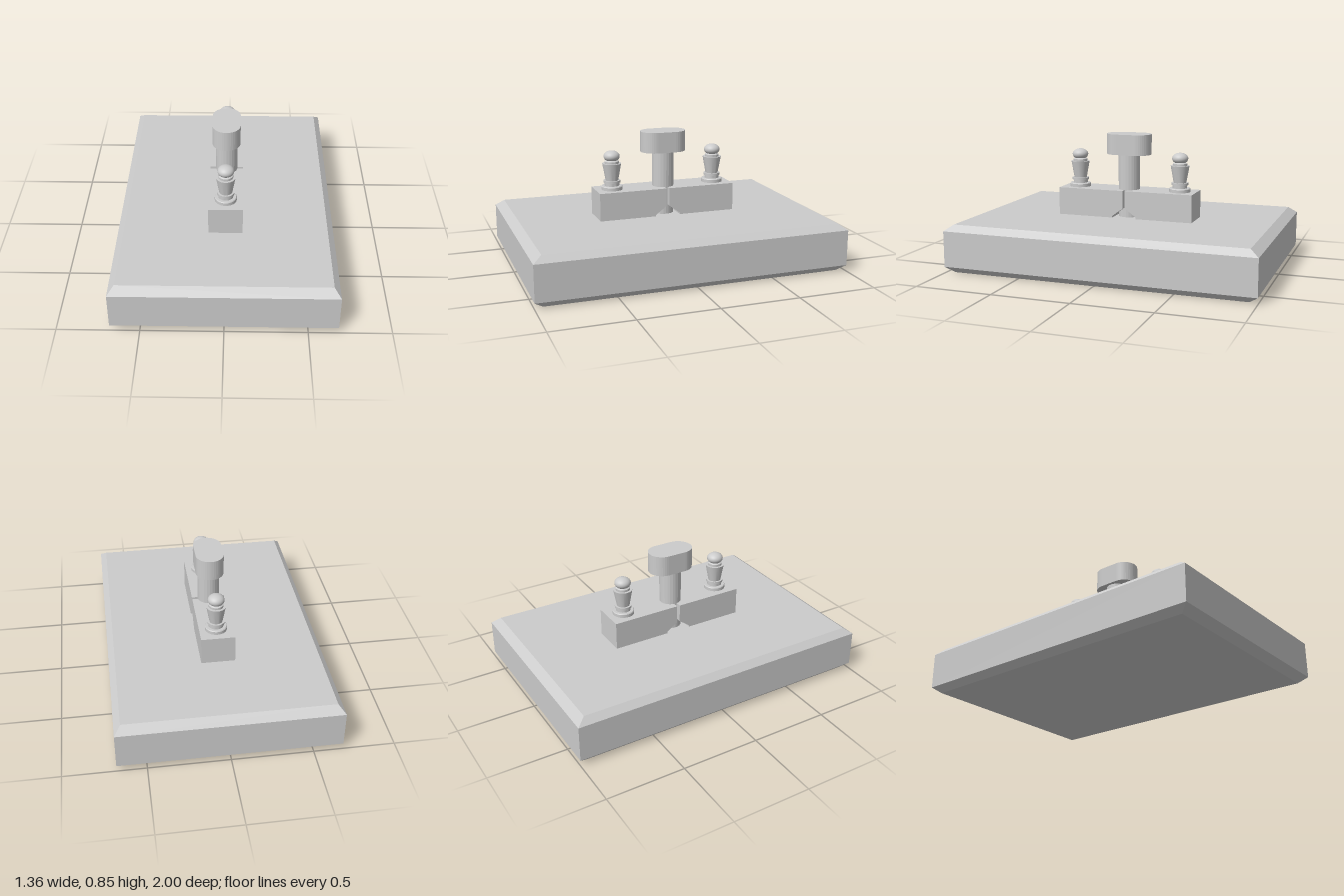
import * as THREE from 'three';
import { toCreasedNormals } from 'three/addons/utils/BufferGeometryUtils.js';
import { ConvexGeometry } from 'three/addons/geometries/ConvexGeometry.js';

const smooth = new THREE.MeshStandardMaterial({ color: 0xcccccc });
const flat = new THREE.MeshStandardMaterial({ color: 0xcccccc, flatShading: true });

function part(name, geometry, material, parent) {
  const mesh = new THREE.Mesh(geometry, material);
  mesh.name = name;
  parent.add(mesh);
  return mesh;
}

// Slab whose top and bottom rims are bevelled
function slabGeometry() {
  const points = [];
  const levels = [[0.64, 0.945, 0], [0.68, 1, 0.04], [0.68, 1, 0.27], [0.64, 0.945, 0.31]];
  for (const [x, z, y] of levels)
    for (const sx of [-1, 1])
      for (const sz of [-1, 1]) points.push(new THREE.Vector3(sx * x, y, sz * z));
  return new ConvexGeometry(points);
}

// Half of the split block, with its inner lower edge cut away
function blockGeometry() {
  const profile = new THREE.Shape([
    [0.082, 0.31], [0.455, 0.31], [0.455, 0.49], [0.01, 0.49], [0.01, 0.373], [0.082, 0.32],
  ].map(([z, y]) => new THREE.Vector2(z, y)));
  return new THREE.ExtrudeGeometry(profile, { depth: 0.214, bevelEnabled: false })
    .translate(0, 0, -0.107).rotateY(-Math.PI / 2);
}

// Turned stud: foot, collar, flared body and neck
function studGeometry() {
  const profile = [
    [0, 0.49], [0.069, 0.49], [0.069, 0.51], [0.065, 0.515], [0.047, 0.515], [0.047, 0.535],
    [0.054, 0.535], [0.054, 0.55], [0.041, 0.55], [0.061, 0.66], [0.046, 0.66],
    [0.046, 0.674], [0.034, 0.682], [0, 0.682],
  ].map(([r, y]) => new THREE.Vector2(r, y));
  return toCreasedNormals(new THREE.LatheGeometry(profile, 32), 0.5);
}

// Rounded-end grip on top of the post
function headGeometry() {
  const r = 0.089, straight = 0.06;
  const outline = new THREE.Shape();
  outline.absarc(0, straight, r, 0, Math.PI, false);
  outline.absarc(0, -straight, r, Math.PI, 2 * Math.PI, false);
  outline.closePath();
  return new THREE.ExtrudeGeometry(outline, { depth: 0.133, bevelEnabled: false, curveSegments: 10 })
    .rotateX(-Math.PI / 2).translate(0, 0.72, 0);
}

export function createModel() {
  const model = new THREE.Group();
  model.name = 'mountedSwitch';

  part('base', slabGeometry(), flat, model);

  // Front and back halves are the same, turned about the post
  ['front', 'back'].forEach((side, i) => {
    const half = new THREE.Group();
    half.name = side + 'Half';
    half.rotation.y = i * Math.PI;
    part(side + 'Block', blockGeometry(), flat, half);
    part(side + 'Stud', studGeometry(), smooth, half).position.z = 0.346;
    const knob = part(side + 'StudKnob', new THREE.SphereGeometry(0.052, 32, 20), smooth, half);
    knob.scale.y = 0.7;
    knob.position.set(0, 0.706, 0.346);
    model.add(half);
  });

  // Central post and its grip
  part('post', new THREE.CylinderGeometry(0.07, 0.07, 0.42, 24), flat, model).position.y = 0.515;
  part('postHead', headGeometry(), flat, model);

  return model;
}
